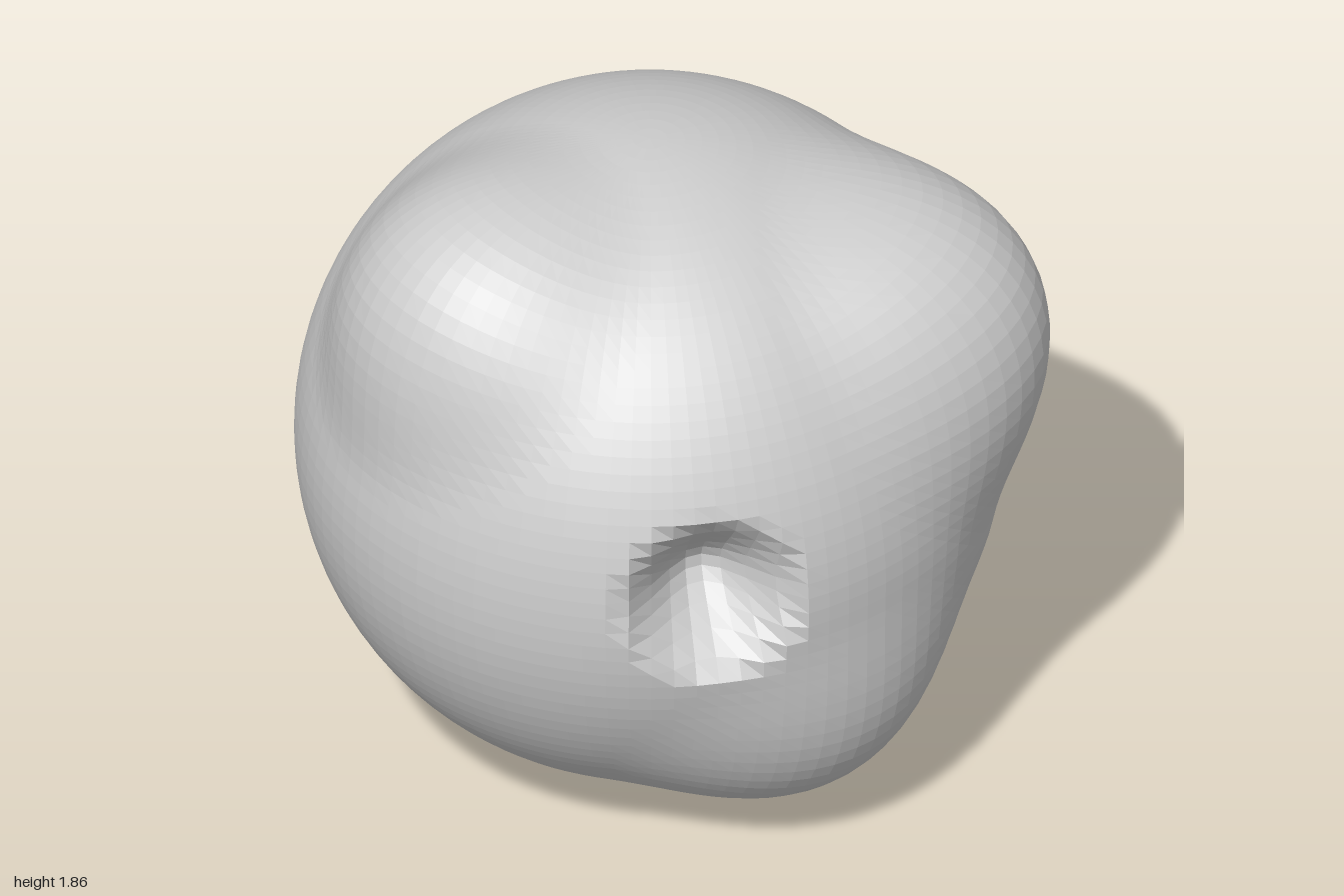
import * as THREE from 'three';

const RADIUS = 0.93;
const CENTRE = new THREE.Vector3(-0.03, 0.93, 0.07);
const dir = (x, y, z) => new THREE.Vector3(x, y, z).normalize();

// Rounded bulges: direction, height, angular radius
const bumps = [
  { d: dir(-0.10, 0.14, -1.07), h: 0.155, r: 0.60 }, // back
  { d: dir(0.90, 0.57, -0.37), h: 0.22, r: 0.72 },   // upper side
  { d: dir(-0.36, 0.82, 0.67), h: 0.185, r: 0.64 },  // upper front
  { d: dir(0.73, -0.66, 0.27), h: 0.12, r: 0.66 },   // lower side
  { d: dir(0.45, -0.60, -0.66), h: 0.10, r: 0.60 },  // lower back
];

// Bowls: direction, depth, angular radius
const craters = [
  { d: dir(0.59, 0.07, 0.69), h: 0.26, r: 0.275 },
  { d: dir(0.39, 0.35, -0.82), h: 0.20, r: 0.22 },
];

function surfaceRadius(n) {
  let r = RADIUS;
  for (const b of bumps) {
    const t = Math.min(n.angleTo(b.d) / b.r, 1);
    r += b.h * 0.5 * (1 + Math.cos(Math.PI * t));
  }
  for (const c of craters) {
    const t = Math.min(n.angleTo(c.d) / c.r, 1);
    r -= c.h * Math.pow(1 - t * t, 1.4);
  }
  return r;
}

export function createModel() {
  const group = new THREE.Group();
  group.name = 'asteroid';

  // Sphere pushed in and out along its radii
  const geometry = new THREE.SphereGeometry(1, 96, 64);
  const pos = geometry.attributes.position;
  const v = new THREE.Vector3();
  for (let i = 0; i < pos.count; i++) {
    v.fromBufferAttribute(pos, i).normalize();
    v.multiplyScalar(surfaceRadius(v)).add(CENTRE);
    pos.setXYZ(i, v.x, v.y, v.z);
  }
  geometry.computeVertexNormals();

  // Rest on the ground
  geometry.computeBoundingBox();
  geometry.translate(0, -geometry.boundingBox.min.y, 0);

  const rock = new THREE.Mesh(
    geometry,
    new THREE.MeshStandardMaterial({ color: 0xcccccc, flatShading: true })
  );
  rock.name = 'rockBody';
  group.add(rock);
  return group;
}
